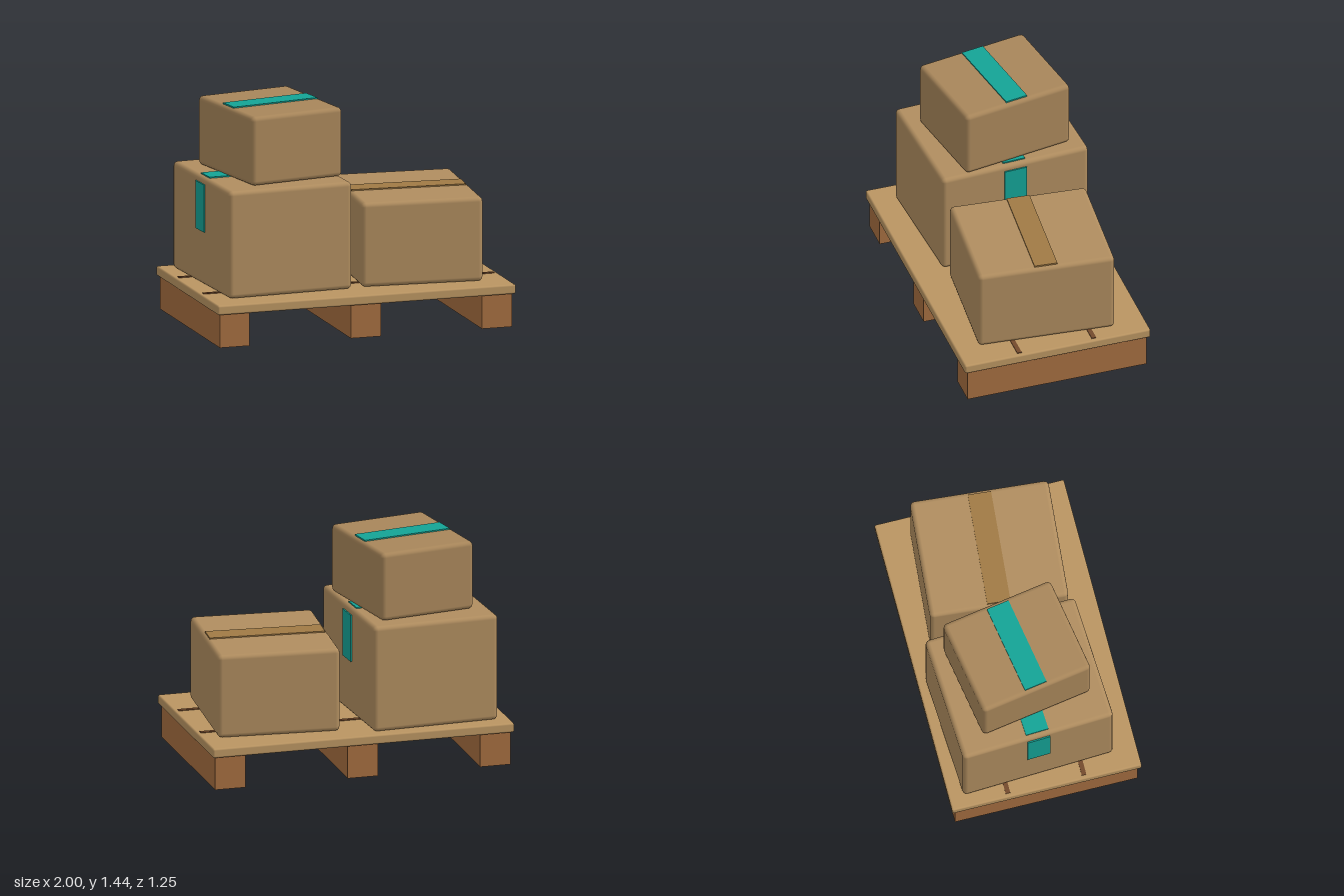
import * as THREE from 'three';
import { RoundedBoxGeometry } from 'three/addons/geometries/RoundedBoxGeometry.js';

const mat = (color) => new THREE.MeshStandardMaterial({ color });
const cardboard = mat(0xb08d5f);
const cardboardDark = mat(0xa8865a);
const deckWood = mat(0xba9562);
const runnerWood = mat(0xa56e40);
const gapWood = mat(0x744a2c);
const tealTape = mat(0x14a396);
const brownTape = mat(0xa07a45);

function add(parent, name, geometry, material, x, y, z) {
  const mesh = new THREE.Mesh(geometry, material);
  mesh.name = name;
  mesh.position.set(x, y, z);
  parent.add(mesh);
  return mesh;
}

// Carton standing on its own origin, with a tape strip across the lid
function makeCarton({ name, w, h, d, x, y, z, turn, material, tape, tapeLength, sideTape }) {
  const carton = new THREE.Group();
  carton.name = name;
  carton.position.set(x, y, z);
  carton.rotation.y = turn;
  add(carton, 'cartonBody', new RoundedBoxGeometry(w, h, d, 2, 0.03), material, 0, h / 2, 0);
  add(carton, 'lidTape', new THREE.BoxGeometry(tapeLength, 0.016, 0.15), tape, 0, h, 0);
  if (sideTape) {
    for (const s of [-1, 1]) {
      add(carton, 'sideTape', new THREE.BoxGeometry(0.018, 0.31, 0.15), tape, s * w / 2, h - 0.195, 0);
    }
  }
  return carton;
}

export function createModel() {
  const model = new THREE.Group();
  model.name = 'loadedPallet';

  // Pallet: three runners, a deck and two dark board gaps
  const pallet = new THREE.Group();
  pallet.name = 'pallet';
  model.add(pallet);
  for (const x of [-0.88, 0, 0.88]) {
    add(pallet, 'runner', new THREE.BoxGeometry(0.2, 0.22, 1.2), runnerWood, x, 0.11, 0);
  }
  add(pallet, 'deck', new RoundedBoxGeometry(2, 0.062, 1.246, 2, 0.012), deckWood, 0, 0.248, 0);
  for (const z of [-0.25, 0.25]) {
    add(pallet, 'boardGap', new THREE.BoxGeometry(1.95, 0.012, 0.03), gapWood, 0, 0.278, z);
  }

  // Cartons
  model.add(
    makeCarton({
      name: 'largeCarton', w: 0.84, h: 0.7, d: 1.0, x: -0.478, y: 0.28, z: -0.05, turn: 0.05,
      material: cardboard, tape: tealTape, tapeLength: 0.78, sideTape: true,
    }),
    makeCarton({
      name: 'smallCarton', w: 0.65, h: 0.45, d: 0.75, x: -0.425, y: 0.982, z: -0.052, turn: 0.165,
      material: cardboardDark, tape: tealTape, tapeLength: 0.6,
    }),
    makeCarton({
      name: 'wideCarton', w: 0.795, h: 0.55, d: 0.895, x: 0.472, y: 0.28, z: -0.003, turn: -0.085,
      material: cardboard, tape: brownTape, tapeLength: 0.75,
    }),
  );
  return model;
}
